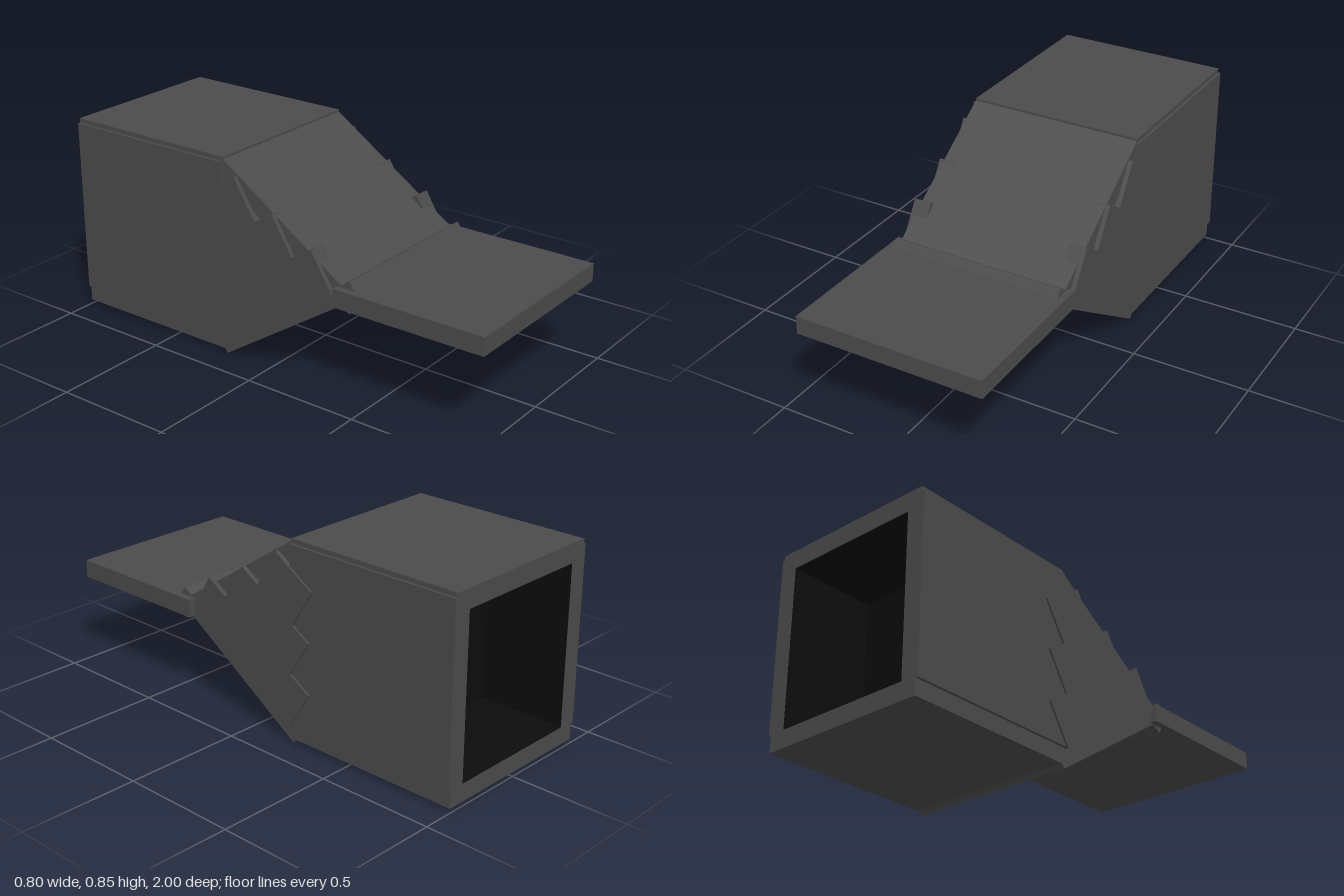
import * as THREE from 'three';

export function createModel() {
  const model = new THREE.Group();
  model.name = 'boxWithRampAndShelf';

  const grey = new THREE.MeshStandardMaterial({ color: 0x4b4b4b });
  grey.name = 'dark grey';
  const black = new THREE.MeshStandardMaterial({ color: 0x0c0c0c });
  black.name = 'black';

  // Axis-aligned panel from its limits
  function panel(name, [x0, x1], [y0, y1], [z0, z1], material = grey) {
    const mesh = new THREE.Mesh(new THREE.BoxGeometry(x1 - x0, y1 - y0, z1 - z0), material);
    mesh.position.set((x0 + x1) / 2, (y0 + y1) / 2, (z0 + z1) / 2);
    mesh.name = name;
    model.add(mesh);
  }

  // Tilted board: starts at a (z, y), runs forward at an angle, grows upwards by `height`
  function board(name, z, y, length, height, angle, width, x = 0) {
    const geometry = new THREE.BoxGeometry(width, height, length);
    geometry.translate(0, height / 2, length / 2);
    geometry.rotateX(-angle);
    const mesh = new THREE.Mesh(geometry, grey);
    mesh.position.set(x, y, z);
    mesh.name = name;
    model.add(mesh);
  }

  // Hollow box, open at the back, with an inner partition
  const inX = 0.304, inLow = 0.092, inHigh = 0.769;
  panel('topPanel', [-0.372, 0.372], [inHigh, 0.848], [-1, -0.215]);
  panel('bottomPanel', [-0.372, 0.372], [0.018, inLow], [-1, -0.215]);
  panel('innerPartition', [-inX, inX], [inLow, inHigh], [-0.62, -0.55]);

  // Black lining of the opening
  const skin = 0.004, depth = [-0.999, -0.62];
  panel('liningTop', [-inX, inX], [inHigh - skin, inHigh], depth, black);
  panel('liningBottom', [-inX, inX], [inLow, inLow + skin], depth, black);
  panel('liningEnd', [-inX, inX], [inLow, inHigh], [-0.624, -0.62], black);

  // Sloping boards that cross at the front
  const tilt = Math.atan2(0.43, 0.652);
  const slopeLength = Math.hypot(0.43, 0.652);
  const thick = 0.07;
  board('lowerSlope', -0.22, 0, slopeLength, thick, tilt, 0.744);
  board('upperSlope', -0.22 - thick * Math.sin(tilt), 0.842 - thick * Math.cos(tilt),
    slopeLength, thick, -tilt, 0.744);

  // Side walls and stepped cheek planks: rear lower corner z, y and length
  const planks = [[-0.217, 0.08, 0.64], [-0.217, 0.295, 0.418], [-0.233, 0.507, 0.22]];
  const plankTilt = THREE.MathUtils.degToRad(32);
  for (const side of [-1, 1]) {
    const label = side > 0 ? 'left' : 'right';
    const span = (a, b) => (side > 0 ? [a, b] : [-b, -a]);
    panel(label + 'Wall', span(inX, 0.383), [0.085, 0.829], [-1, -0.215]);
    panel(label + 'Lining', span(inX - skin, inX), [inLow, inHigh], depth, black);
    planks.forEach(([z, y, length], i) =>
      board(label + 'CheekPlank' + (i + 1), z, y, length, 0.19, plankTilt, 0.075, side * 0.353));
  }

  // Front shelf
  panel('shelf', [-0.401, 0.401], [0.379, 0.455], [0.335, 1]);

  return model;
}
